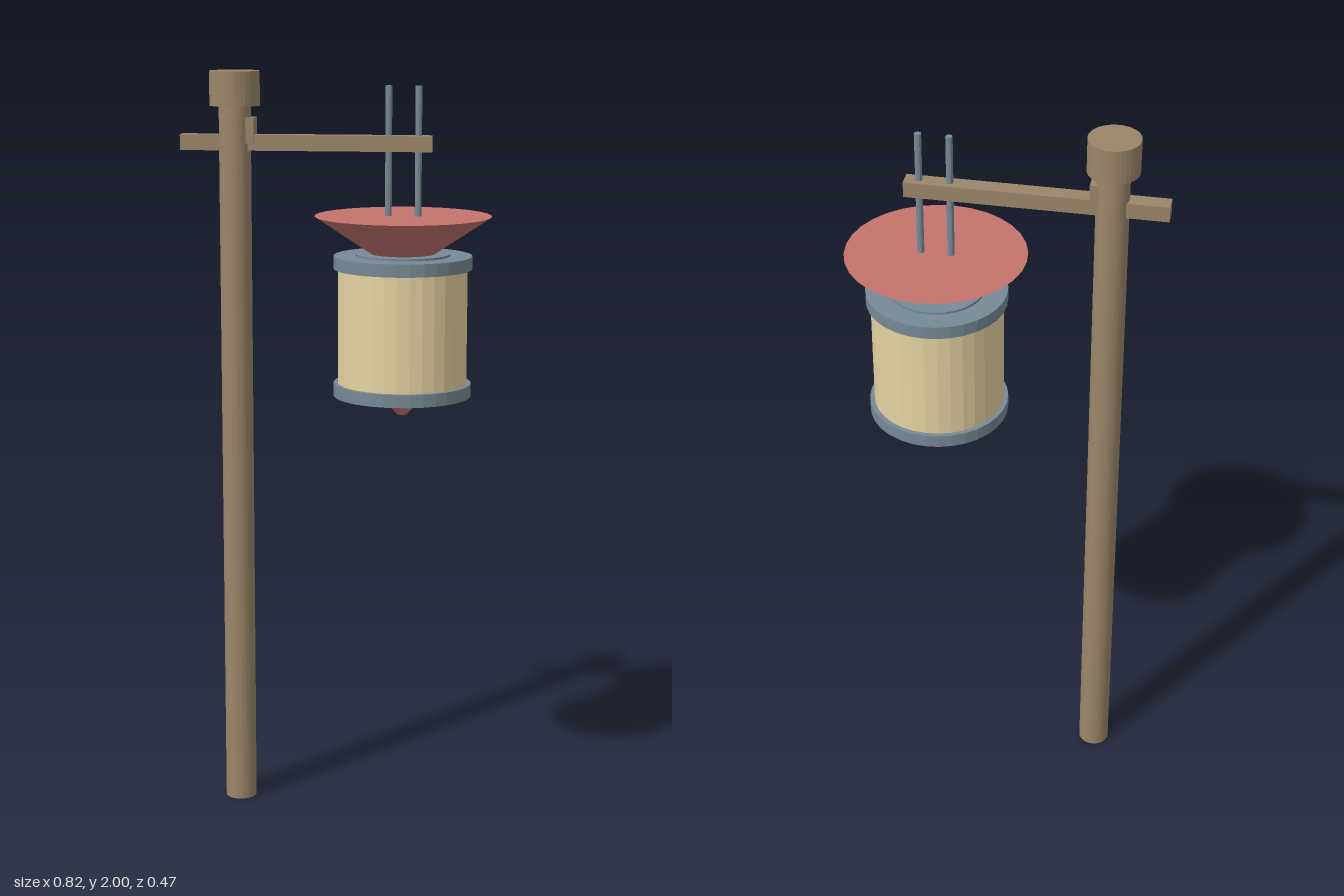
import * as THREE from 'three';

const material = (color) => new THREE.MeshStandardMaterial({ color, flatShading: true });

export function createModel() {
  const model = new THREE.Group();
  model.name = 'lampPost';
  const wood = material(0x9b866a);
  const red = material(0xc4746d);
  const steel = material(0x778a96);
  const paper = material(0xe6d3a1);

  const add = (parent, name, geometry, mat, x, y, z = 0) => {
    const mesh = new THREE.Mesh(geometry, mat);
    mesh.name = name;
    mesh.position.set(x, y, z);
    parent.add(mesh);
    return mesh;
  };
  // Upright round part given by its bottom and top heights
  const round = (parent, name, mat, x, y0, y1, rBottom, rTop = rBottom, sides = 32) =>
    add(parent, name, new THREE.CylinderGeometry(rTop, rBottom, y1 - y0, sides), mat, x, (y0 + y1) / 2);

  // Post with cap, cross arm and the wedge that pins the arm
  const postX = -0.268;
  round(model, 'post', wood, postX, 0, 1.92, 0.042);
  round(model, 'postCap', wood, postX, 1.91, 2, 0.066);
  add(model, 'arm', new THREE.BoxGeometry(0.662, 0.041, 0.043), wood, -0.08, 1.815);
  add(model, 'wedge', new THREE.BoxGeometry(0.028, 0.066, 0.054), wood, -0.228, 1.847);

  // Lantern: drum between two rings, flared roof above, pointed tip below
  const lantern = new THREE.Group();
  lantern.name = 'lantern';
  lantern.position.x = 0.176;
  model.add(lantern);
  round(lantern, 'drum', paper, 0, 1.17, 1.505, 0.171);
  round(lantern, 'lowerRing', steel, 0, 1.15, 1.184, 0.183);
  round(lantern, 'upperRing', steel, 0, 1.489, 1.523, 0.183);
  round(lantern, 'collar', steel, 0, 1.52, 1.529, 0.125);
  round(lantern, 'roof', red, 0, 1.522, 1.627, 0.075, 0.233);
  round(lantern, 'tip', red, 0, 1.097, 1.152, 0.012, 0.066);

  // Pair of hanging rods
  for (const side of [-1, 1]) {
    round(lantern, side < 0 ? 'rightRod' : 'leftRod', steel, side * 0.039, 1.6, 1.964, 0.009, 0.009, 10);
  }
  return model;
}
